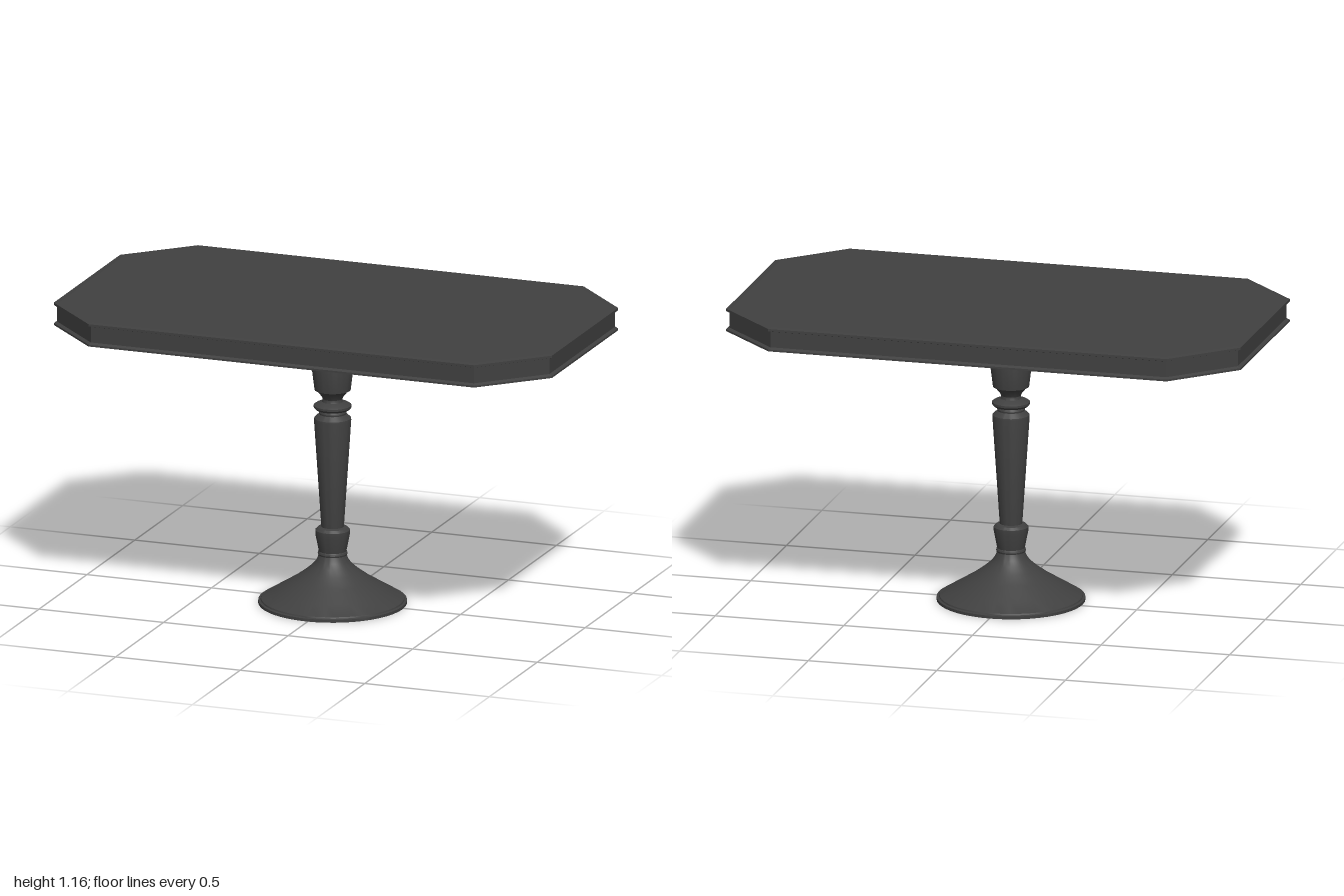
import * as THREE from 'three';
import { toCreasedNormals } from 'three/addons/utils/BufferGeometryUtils.js';

// Octagon corners (counter-clockwise from above), moved inwards by d
function octagon(d) {
  const a = 1 - d, b = 0.572 - d, k = 1.346 - Math.SQRT2 * d;
  return [
    [a, k - a], [a, a - k], [k - b, -b], [b - k, -b],
    [-a, a - k], [-a, k - a], [b - k, b], [k - b, b],
  ];
}

// Skin over octagonal rings given as [inset, y], closed at both ends
function octagonLoft(sections) {
  const pos = [], index = [];
  const rings = sections.map(([d, y]) => octagon(d).map(([x, z]) => [x, y, z]));
  const centre = (y) => Array.from({ length: 8 }, () => [0, y, 0]);
  rings.unshift(centre(sections[0][1]));
  rings.push(centre(sections[sections.length - 1][1]));
  rings.forEach((ring) => ring.forEach((p) => pos.push(...p)));
  for (let i = 0; i < rings.length - 1; i++) {
    for (let j = 0; j < 8; j++) {
      const a = i * 8 + j, b = i * 8 + (j + 1) % 8;
      const c = b + 8, d = a + 8;
      if (i > 0) index.push(a, b, d);
      else index.push(a, c, d);
      if (i > 0 && i < rings.length - 2) index.push(b, c, d);
    }
  }
  const geometry = new THREE.BufferGeometry();
  geometry.setAttribute('position', new THREE.Float32BufferAttribute(pos, 3));
  geometry.setIndex(index);
  const flat = geometry.toNonIndexed();
  flat.computeVertexNormals();
  return flat;
}

function turned(profile) {
  const points = profile.map(([r, y]) => new THREE.Vector2(r, y));
  return toCreasedNormals(new THREE.LatheGeometry(points, 48), 0.45);
}

export function createModel() {
  const model = new THREE.Group();
  const material = new THREE.MeshStandardMaterial({ color: 0x404040 });
  const add = (name, geometry, parent) => {
    const mesh = new THREE.Mesh(geometry, material);
    mesh.name = name;
    parent.add(mesh);
  };

  // Table top: recessed band between two projecting rims
  add('tableTop', octagonLoft([
    [0.022, 1.064], [0.0, 1.067], [0.0, 1.074], [0.012, 1.08],
    [0.012, 1.141], [0.0, 1.145], [0.0, 1.154], [0.022, 1.157],
  ]), model);

  // Turned pedestal, slightly off the centre of the top
  const pedestal = new THREE.Group();
  pedestal.name = 'pedestal';
  pedestal.position.set(-0.007, 0, 0.017);
  model.add(pedestal);

  // Flared round foot
  add('foot', turned([
    [0, 0], [0.279, 0], [0.279, 0.011], [0.27, 0.013], [0.268, 0.018],
    [0.215, 0.05], [0.15, 0.09], [0.145, 0.093], [0.105, 0.122],
    [0.078, 0.145], [0.061, 0.165], [0.052, 0.187], [0, 0.187],
  ]), pedestal);

  // Lower collar and ring
  add('lowerCollar', turned([
    [0, 0.186], [0.054, 0.187], [0.056, 0.193], [0.054, 0.2], [0.052, 0.202],
    [0.065, 0.268], [0.065, 0.284], [0.056, 0.293], [0.043, 0.297], [0, 0.297],
  ]), pedestal);

  // Tapered shaft
  add('shaft', turned([
    [0, 0.29], [0.042, 0.29], [0.07, 0.713], [0.069, 0.72], [0.052, 0.736], [0, 0.736],
  ]), pedestal);

  // Rings above the shaft
  add('middleRings', turned([
    [0, 0.73], [0.05, 0.73], [0.052, 0.742], [0.048, 0.752], [0.064, 0.754],
    [0.071, 0.762], [0.071, 0.77], [0.062, 0.776], [0.04, 0.784],
    [0.037, 0.793], [0.037, 0.8], [0, 0.8],
  ]), pedestal);

  // Vase-shaped capital
  add('capital', turned([
    [0, 0.795], [0.037, 0.795], [0.042, 0.805], [0.058, 0.825], [0.068, 0.83],
    [0.083, 0.952], [0.082, 0.958], [0.049, 0.985], [0.053, 0.988],
    [0.053, 0.997], [0.044, 1.001], [0, 1.001],
  ]), pedestal);

  // Flared plate carrying the top
  add('topFlange', turned([
    [0, 0.998], [0.043, 0.998], [0.058, 1.01], [0.085, 1.026], [0.13, 1.041],
    [0.187, 1.056], [0.193, 1.058], [0.193, 1.065], [0, 1.065],
  ]), pedestal);

  return model;
}
